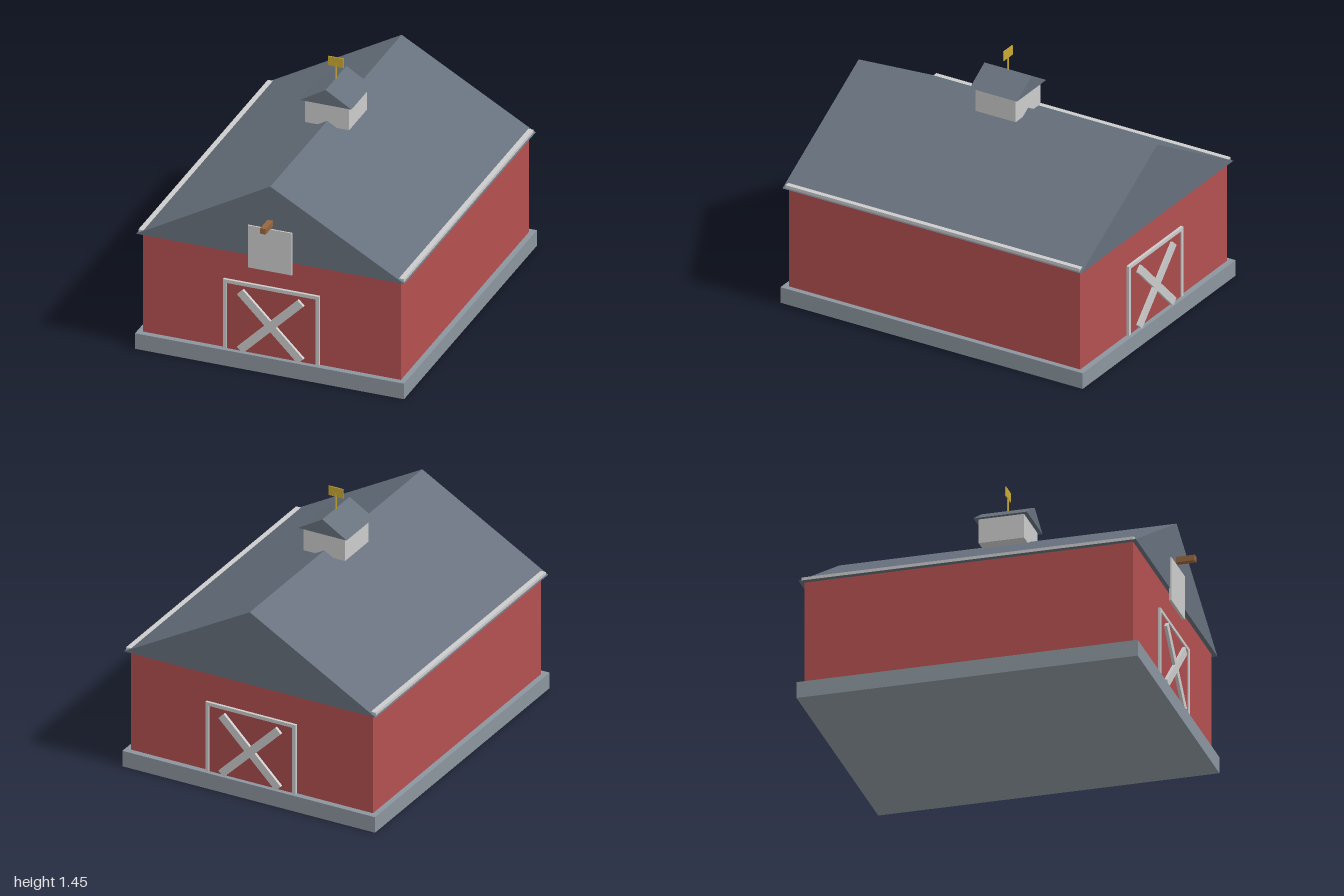
import * as THREE from 'three';

const paint = (color) => new THREE.MeshStandardMaterial({ color, flatShading: true });

export function createModel() {
  const barn = new THREE.Group();
  barn.name = 'barn';
  const red = paint(0xb45050), doorRed = paint(0xaa4c4c), slate = paint(0x66707c);
  const stone = paint(0x8b959e), trim = paint(0xcccccc), wood = paint(0x96663f), gold = paint(0xc9a832);
  const zMid = -0.047; // the hoist beam pushes the building back from the centre

  // Box given by its extents on each axis
  function box(name, material, [x0, x1], [y0, y1], [z0, z1], parent = barn) {
    const mesh = new THREE.Mesh(new THREE.BoxGeometry(x1 - x0, y1 - y0, z1 - z0), material);
    mesh.position.set((x0 + x1) / 2, (y0 + y1) / 2, (z0 + z1) / 2);
    mesh.name = name;
    parent.add(mesh);
    return mesh;
  }

  // Solid gabled roof with its ridge along z
  function gable(name, halfWidth, y0, y1, length) {
    const shape = new THREE.Shape();
    shape.moveTo(-halfWidth, y0).lineTo(halfWidth, y0).lineTo(0, y1).closePath();
    const geometry = new THREE.ExtrudeGeometry(shape, { depth: length, bevelEnabled: false });
    const mesh = new THREE.Mesh(geometry, slate);
    mesh.position.z = zMid - length / 2;
    mesh.name = name;
    barn.add(mesh);
  }

  // Body
  box('foundation', stone, [-0.777, 0.777], [0, 0.094], [-1, 0.906]);
  box('walls', red, [-0.745, 0.745], [0.094, 0.692], [-0.965, 0.871]);
  gable('mainRoof', 0.775, 0.692, 1.13, 1.884);
  for (const s of [-1, 1]) {
    const x = s * 0.75;
    box(s > 0 ? 'leftGutter' : 'rightGutter', trim, [x - 0.018, x + 0.018], [0.695, 0.713], [-0.975, 0.881]);
  }

  // Barn door with frame and cross brace, built facing +z from the wall plane
  function barnDoor(name) {
    const door = new THREE.Group();
    door.name = name;
    box('doorPanel', doorRed, [-0.258, 0.258], [0.094, 0.492], [0, 0.009], door);
    for (const s of [-1, 1]) {
      const x = s * 0.267;
      box('doorPost', trim, [x - 0.01, x + 0.01], [0.094, 0.492], [-0.005, 0.016], door);
      const brace = box('crossBrace', trim, [-0.248, 0.248], [0.258, 0.304], [0.005, 0.0265 + s * 0.0003], door);
      brace.rotation.z = s * Math.PI / 4;
    }
    box('doorLintel', trim, [-0.277, 0.277], [0.492, 0.512], [-0.005, 0.016], door);
    barn.add(door);
    return door;
  }
  barnDoor('frontDoor').position.z = 0.871;
  const backDoor = barnDoor('backDoor');
  backDoor.position.z = -0.965;
  backDoor.rotation.y = Math.PI;

  // Hay loft hatch and hoist beam on the front gable
  box('loftHatch', trim, [-0.127, 0.127], [0.62, 0.875], [0.889, 0.903]);
  box('hoistBeam', wood, [-0.016, 0.016], [0.893, 0.926], [0.86, 1]);

  // Cupola and weathervane on the ridge
  box('cupola', trim, [-0.127, 0.127], [1.098, 1.24], [zMid - 0.127, zMid + 0.127]);
  gable('cupolaRoof', 0.149, 1.238, 1.328, 0.298);
  const pole = new THREE.Mesh(new THREE.CylinderGeometry(0.005, 0.005, 0.13, 8), gold);
  pole.position.set(0, 1.355, zMid);
  pole.name = 'vanePole';
  barn.add(pole);
  box('vanePlate', gold, [-0.045, 0.045], [1.398, 1.453], [zMid - 0.003, zMid + 0.003]);

  return barn;
}
